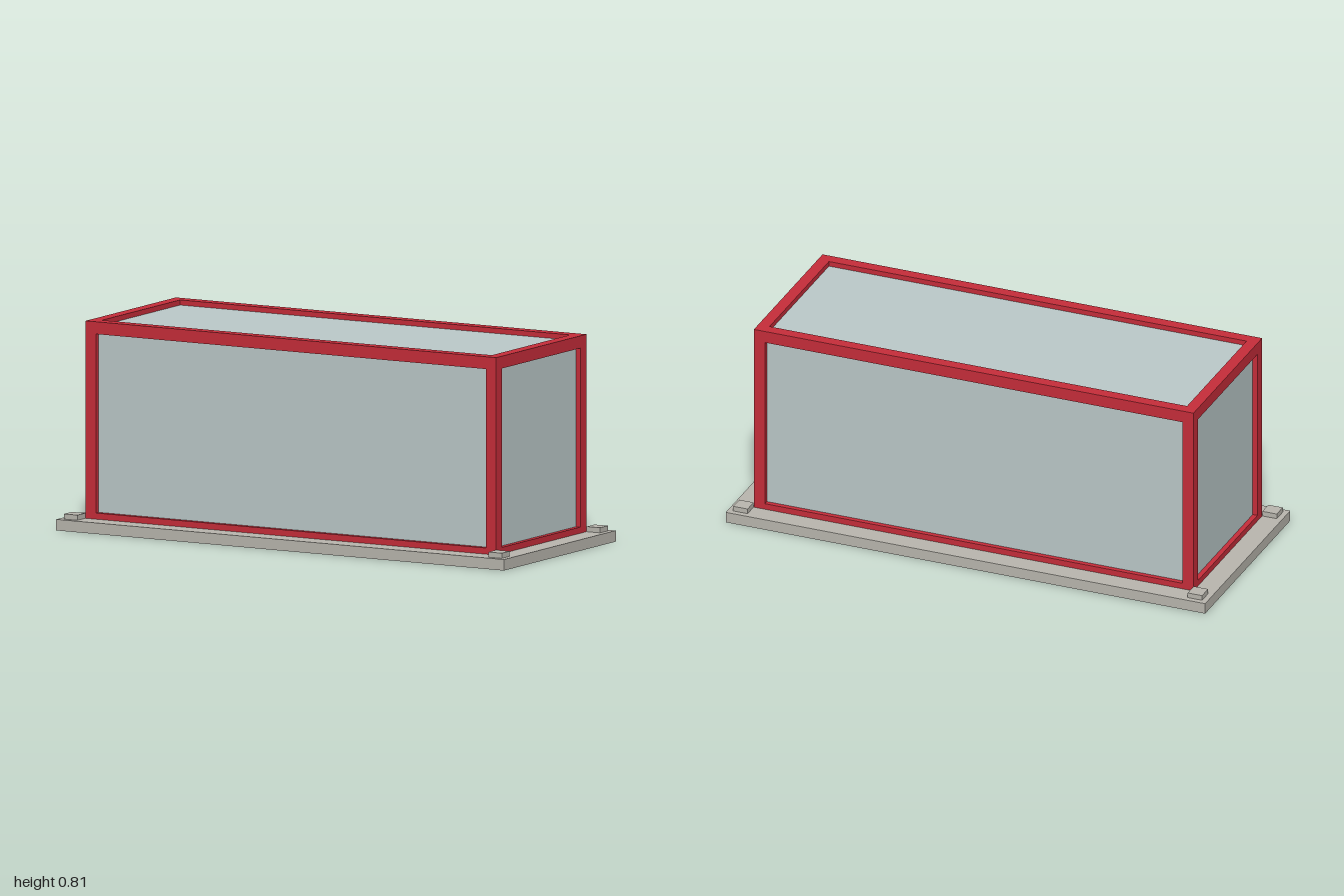
import * as THREE from 'three';

export function createModel() {
  const model = new THREE.Group();
  const mat = (name, color) => Object.assign(new THREE.MeshStandardMaterial({ color }), { name });
  const red = mat('frame red', 0xc72d3a);
  const glass = mat('pale panel', 0xbccaca);
  const stone = mat('base grey', 0xbab7af);

  // Box spanning two opposite corners
  const box = (name, material, [x0, y0, z0], [x1, y1, z1], parent = model) => {
    const mesh = new THREE.Mesh(new THREE.BoxGeometry(x1 - x0, y1 - y0, z1 - z0), material);
    mesh.position.set((x0 + x1) / 2, (y0 + y1) / 2, (z0 + z1) / 2);
    mesh.name = name;
    parent.add(mesh);
  };

  const X = 0.917, Z = 0.343, T = 0.046; // frame half extents and bar thickness
  const floor = 0.043, sill = 0.067, top = 0.812;

  // Base slab
  box('baseSlab', stone, [-1, 0, -0.425], [1, floor, 0.425]);

  // Corner pads and posts
  const frame = new THREE.Group();
  frame.name = 'frame';
  model.add(frame);
  for (const sx of [-1, 1]) {
    for (const sz of [-1, 1]) {
      const x = sx * 0.948, z = sz * 0.373;
      box('cornerPad', stone, [x - 0.03, floor, z - 0.03], [x + 0.03, 0.063, z + 0.03]);
      const px = sx * (X - T / 2), pz = sz * (Z - T / 2);
      box('cornerPost', red, [px - T / 2, floor, pz - T / 2], [px + T / 2, top, pz + T / 2], frame);
    }
  }

  // Horizontal rails between the posts, at the bottom and top
  for (const [name, y0, y1] of [['bottomRail', floor, sill], ['topRail', top - T - 0.002, top]]) {
    for (const s of [-1, 1]) {
      const z = s * (Z - T / 2), x = s * (X - T / 2);
      box(name, red, [-X + T, y0, z - T / 2], [X - T, y1, z + T / 2], frame);
      box(name, red, [x - T / 2, y0, -Z + T], [x + T / 2, y1, Z - T], frame);
    }
  }

  // Panelled body, set back behind the frame faces
  const inset = 0.02;
  box('panelBody', glass, [-X + inset, floor + 0.001, -Z + inset], [X - inset, top - inset, Z - inset]);

  return model;
}
